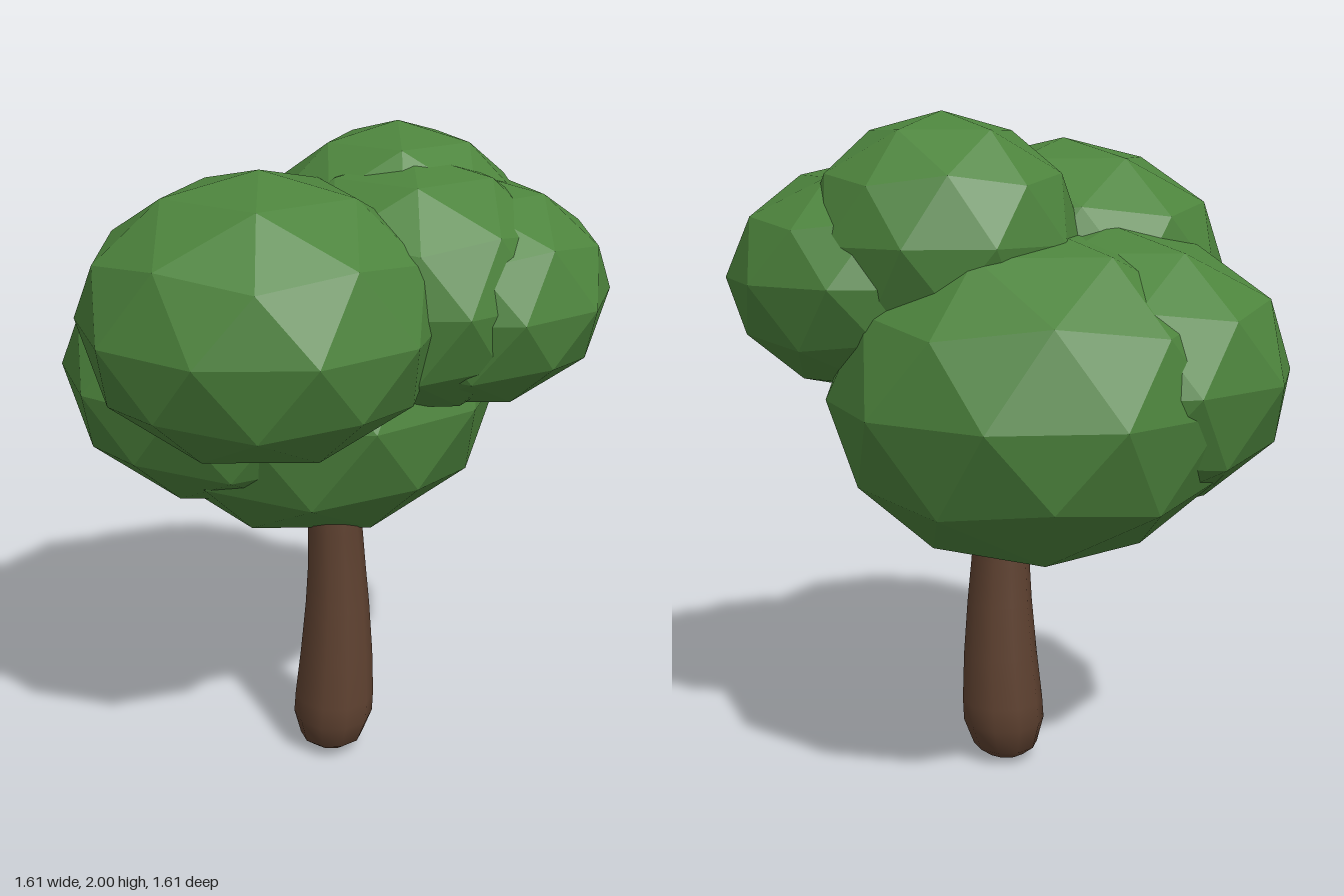
import * as THREE from 'three';

export function createModel() {
  const tree = new THREE.Group();
  tree.name = 'tree';

  const leafGreen = new THREE.MeshStandardMaterial({ color: 0x4d843d });
  leafGreen.name = 'leaf green';
  leafGreen.flatShading = true;
  const barkBrown = new THREE.MeshStandardMaterial({ color: 0x5e4130 });
  barkBrown.name = 'bark brown';

  // Trunk: rounded foot, tapering upwards with a gentle bend
  const profile = [
    [0, 0.005], [0.06, 0.02], [0.1, 0.05], [0.126, 0.13], [0.125, 0.2], [0.114, 0.35],
    [0.1, 0.52], [0.09, 0.65], [0.084, 0.78], [0.082, 0.9], [0.06, 1.1], [0, 1.15],
  ].map(([r, y]) => new THREE.Vector2(r, y));
  const trunkGeometry = new THREE.LatheGeometry(profile, 10);
  const pos = trunkGeometry.attributes.position;
  for (let i = 0; i < pos.count; i++) {
    const y = pos.getY(i);
    const bend = Math.sin(Math.min(y / 0.95, 1) * Math.PI);
    pos.setX(i, pos.getX(i) + 0.03 + 0.02 * bend);
    pos.setZ(i, pos.getZ(i) - 0.012 - 0.012 * Math.min(y, 1));
  }
  const trunk = new THREE.Mesh(trunkGeometry, barkBrown);
  trunk.name = 'trunk';
  tree.add(trunk);

  // Foliage: flattened low-poly balls, each standing on a corner
  const addClump = (name, x, y, z, radius, height) => {
    const geometry = new THREE.IcosahedronGeometry(1, 1);
    geometry.rotateZ(-Math.atan(2 / (1 + Math.sqrt(5))));
    geometry.scale(radius, height, radius);
    geometry.computeVertexNormals();
    const clump = new THREE.Mesh(geometry, leafGreen);
    clump.name = name;
    clump.position.set(x, y, z);
    tree.add(clump);
  };
  addClump('frontFoliage', -0.083, 1.52, 0.288, 0.515, 0.406);
  addClump('rightFoliage', -0.298, 1.26, -0.078, 0.535, 0.42);
  addClump('backFoliage', -0.1, 1.2, -0.215, 0.592, 0.488);
  addClump('leftFoliage', 0.38, 1.53, -0.155, 0.44, 0.34);
  addClump('innerFoliage', 0.25, 1.56, -0.06, 0.44, 0.37);
  addClump('topFoliage', 0.17, 1.64, -0.2, 0.405, 0.36);

  return tree;
}
